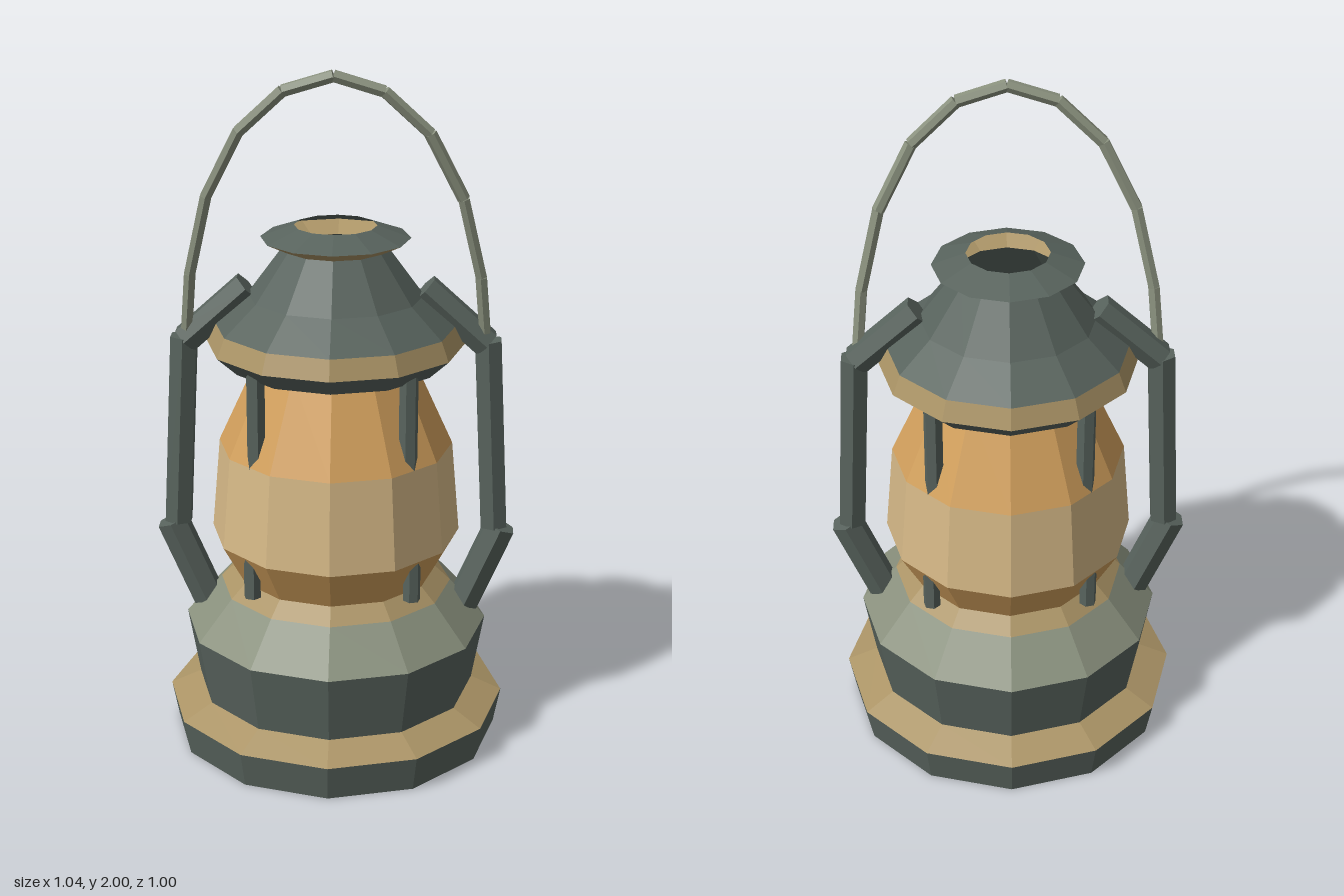
import * as THREE from 'three';

const mat = (name, color) => {
  const m = new THREE.MeshStandardMaterial({ color, flatShading: true, side: THREE.DoubleSide });
  m.name = name;
  return m;
};

export function createModel() {
  const darkGreen = mat('dark green metal', 0x58635d);
  const paleGreen = mat('pale green metal', 0x8a917e);
  const brass = mat('brass', 0xab9466);
  const amber = mat('amber glass', 0xd19f5c);
  const paleGlass = mat('pale glass', 0xd6b987);

  const lantern = new THREE.Group();
  lantern.name = 'lantern';

  const add = (parent, name, geometry, material) => {
    const mesh = new THREE.Mesh(geometry, material);
    mesh.name = name;
    parent.add(mesh);
    return mesh;
  };

  // Hexagonal rod between two points; twist turns it about its own axis
  const rod = (parent, name, a, b, r, material, twist = 0) => {
    const dir = b.clone().sub(a);
    const geometry = new THREE.CylinderGeometry(r, r, dir.length(), 6).rotateY(twist);
    const mesh = add(parent, name, geometry, material);
    mesh.position.copy(a).add(b).multiplyScalar(0.5);
    mesh.quaternion.setFromUnitVectors(new THREE.Vector3(0, 1, 0), dir.normalize());
    return mesh;
  };

  // Twelve-sided shell, open at the foot and chimney: [radius, height] rings per coloured band
  const bands = [
    ['baseRing', darkGreen, [[0.48, 0], [0.5, 0.106]]],
    ['baseLip', brass, [[0.5, 0.106], [0.41, 0.148]]],
    ['tank', darkGreen, [[0.41, 0.148], [0.445, 0.35]]],
    ['tankShoulder', paleGreen, [[0.445, 0.35], [0.34, 0.467]]],
    ['burnerCollar', brass, [[0.34, 0.467], [0.295, 0.51]]],
    ['lowerGlass', amber, [[0.295, 0.51], [0.362, 0.632]]],
    ['middleGlass', paleGlass, [[0.362, 0.632], [0.338, 0.902]]],
    ['upperGlass', amber, [[0.338, 0.902], [0.22, 1.16]]],
    ['capUnderside', darkGreen, [[0.22, 1.16], [0.31, 1.15], [0.37, 1.205]]],
    ['capRim', brass, [[0.37, 1.205], [0.347, 1.262]]],
    ['cap', darkGreen, [[0.347, 1.262], [0.25, 1.345], [0.15, 1.48]]],
    ['chimneyRim', brass, [[0.15, 1.48], [0.212, 1.51]]],
    ['chimneyTop', darkGreen, [[0.212, 1.51], [0.117, 1.545]]],
  ];
  for (const [name, material, rings] of bands) {
    const points = rings.map(([r, y]) => new THREE.Vector2(r, y));
    add(lantern, name, new THREE.LatheGeometry(points, 12), material);
  }

  // Side frames, three hexagonal bars each
  for (const side of [1, -1]) {
    const frame = new THREE.Group();
    frame.name = side > 0 ? 'leftFrame' : 'rightFrame';
    const p = (x, y) => new THREE.Vector3(side * x, y, 0);
    rod(frame, 'lowerBar', p(0.38, 0.4), p(0.483, 0.645), 0.049, darkGreen);
    rod(frame, 'middleBar', p(0.464, 0.645), p(0.434, 1.215), 0.043, darkGreen);
    rod(frame, 'upperBar', p(0.43, 1.205), p(0.252, 1.366), 0.045, darkGreen);
    lantern.add(frame);
  }

  // Small struts holding the glass, on the diagonals
  for (let i = 0; i < 4; i++) {
    const a = Math.PI / 4 + (i * Math.PI) / 2;
    const p = (r, y) => new THREE.Vector3(r * Math.sin(a), y, r * Math.cos(a));
    rod(lantern, 'upperStrut', p(0.3, 0.88), p(0.3, 1.19), 0.027, darkGreen, a);
    rod(lantern, 'lowerStrut', p(0.322, 0.505), p(0.322, 0.64), 0.025, darkGreen, a);
  }

  // Carrying handle, leaning forward
  const handle = new THREE.Group();
  handle.name = 'handle';
  const half = [[0.425, 1.225], [0.408, 1.41], [0.354, 1.64], [0.26, 1.825], [0.137, 1.94]];
  const path = [
    ...half.map(([x, y]) => [-x, y]),
    [0, 1.982],
    ...half.slice().reverse(),
  ].map(([x, y]) => new THREE.Vector3(x, y, 0.013 + (y - 1.225) * 0.146));
  for (let i = 0; i < path.length - 1; i++) {
    rod(handle, 'handleSegment', path[i], path[i + 1], 0.018, paleGreen);
  }
  lantern.add(handle);

  return lantern;
}
